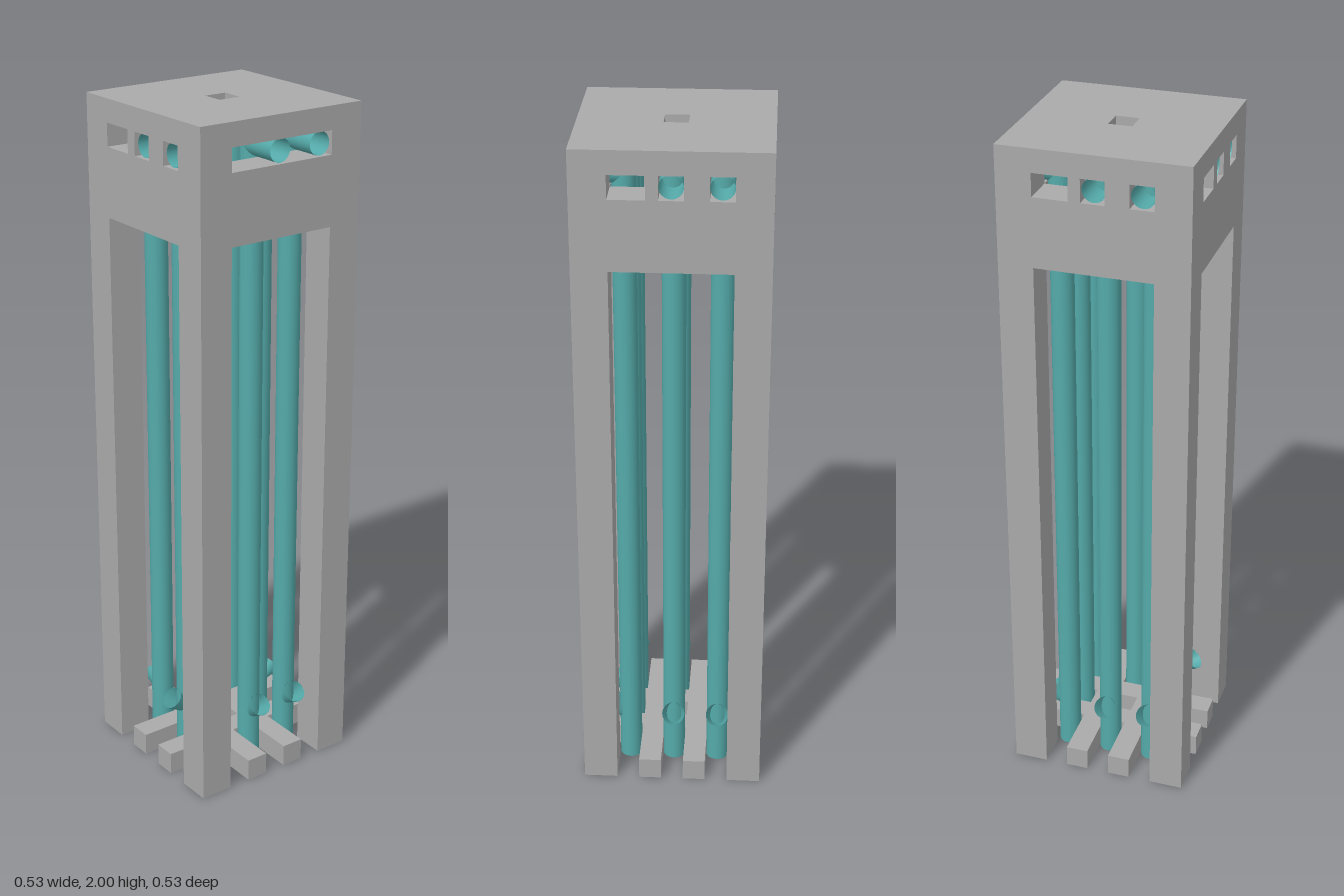
import * as THREE from 'three';

const U = 1 / 15;          // module size
const HALF = 4 * U;        // half width of the tower
const INNER = 2.5 * U;     // inner face of the legs and walls
const RING = 2 * U;        // pipe spacing
const R = U / 2;           // pipe radius

export function createModel() {
  const model = new THREE.Group();
  const stone = new THREE.MeshStandardMaterial({ color: 0xaaaaaa });
  stone.name = 'grey stone';
  const teal = new THREE.MeshStandardMaterial({ color: 0x55aaaa, side: THREE.DoubleSide });
  teal.name = 'teal pipe';

  // Box given by its minimum and maximum on each axis
  const box = (parent, name, [x0, x1], [y0, y1], [z0, z1]) => {
    const m = new THREE.Mesh(new THREE.BoxGeometry(x1 - x0, y1 - y0, z1 - z0), stone);
    m.position.set((x0 + x1) / 2, (y0 + y1) / 2, (z0 + z1) / 2);
    m.name = name;
    parent.add(m);
  };

  // Open pipe running between two points
  const pipe = (parent, name, a, b, r0 = R, r1 = R) => {
    const from = new THREE.Vector3(...a), dir = new THREE.Vector3(...b).sub(from);
    const m = new THREE.Mesh(new THREE.CylinderGeometry(r1, r0, dir.length(), 24, 1, true), teal);
    m.position.copy(from).addScaledVector(dir, 0.5);
    m.quaternion.setFromUnitVectors(new THREE.Vector3(0, 1, 0), dir.normalize());
    m.name = name;
    parent.add(m);
  };

  // Roof slab with a square vent
  const square = (P, h) => {
    const p = new P();
    p.moveTo(-h, -h).lineTo(h, -h).lineTo(h, h).lineTo(-h, h).closePath();
    return p;
  };
  const slab = square(THREE.Shape, HALF);
  slab.holes.push(square(THREE.Path, R));
  const roof = new THREE.Mesh(
    new THREE.ExtrudeGeometry(slab, { depth: U, bevelEnabled: false }), stone);
  roof.rotation.x = -Math.PI / 2;
  roof.position.y = 29 * U;
  roof.name = 'roof';
  model.add(roof);

  // Base lattice of crossing bars
  for (const s of [-1, 1]) {
    const across = [s * U - R, s * U + R];
    box(model, 'baseBarLengthwise', across, [0, U], [-HALF, HALF]);
    for (const [a, b] of [[-HALF, -1.5 * U], [-R, R], [1.5 * U, HALF]]) {
      box(model, 'baseBarCrosswise', [a, b], [0, U], across);
    }
  }

  // Four sides, repeated as a pinwheel
  for (let i = 0; i < 4; i++) {
    const side = new THREE.Group();
    side.name = 'side';
    side.rotation.y = i * Math.PI / 2;
    model.add(side);

    box(side, 'cornerLeg', [INNER, HALF], [0, 29 * U], [INNER, HALF]);
    box(side, 'lintel', [-INNER, INNER], [25 * U, 28 * U], [INNER, HALF]);

    // Window posts; one side is left as a single open slot
    if (i !== 1) {
      box(side, 'windowPost', [-U, -R], [28 * U, 29 * U], [INNER, HALF]);
      box(side, 'windowPost', [R, 1.5 * U], [28 * U, 29 * U], [INNER, HALF]);
    }

    // Pipes with a flared mouth below and an outlet in the window above
    for (const x of [0, RING]) {
      pipe(side, 'pipe', [x, 0, RING], [x, 29 * U, RING]);
      pipe(side, 'pipeOutlet', [x, 28.5 * U, RING], [x, 28.5 * U, 0.255]);
      pipe(side, 'pipeMouth', [x, 0.13, RING], [x, 0.187, RING + 0.057], 0.012, 0.034);
    }
  }
  return model;
}
